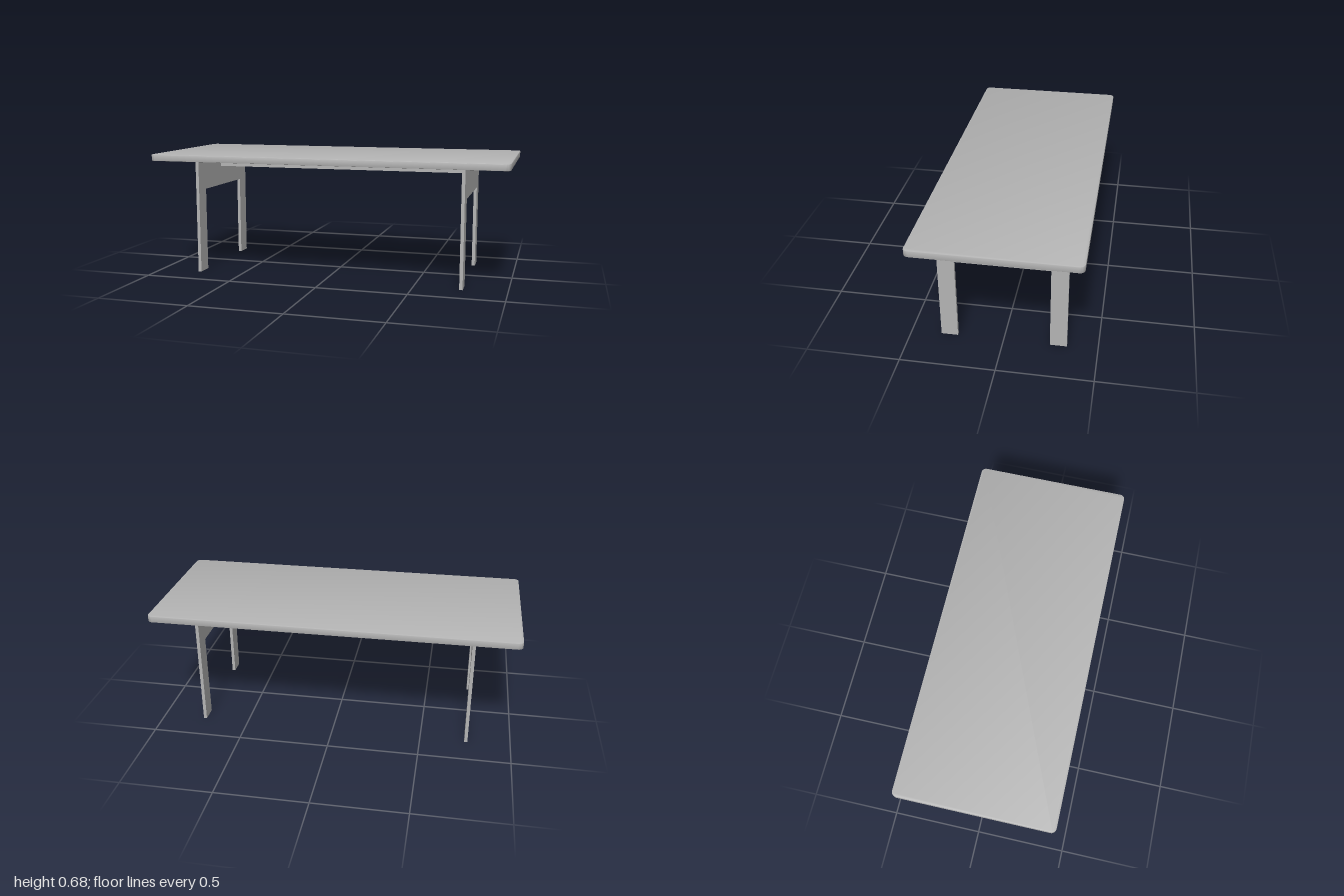
import * as THREE from 'three';
import { toCreasedNormals } from 'three/addons/utils/BufferGeometryUtils.js';

export function createModel() {
  const table = new THREE.Group();
  table.name = 'table';
  const grey = new THREE.MeshStandardMaterial({ color: 0xb4b4b4 });
  grey.name = 'light grey';

  const add = (name, geometry, x, y, z) => {
    const mesh = new THREE.Mesh(geometry, grey);
    mesh.name = name;
    mesh.position.set(x, y, z);
    table.add(mesh);
    return mesh;
  };

  // Tabletop: rounded rectangle with slightly softened edges
  const bevel = 0.003, w = 1 - bevel, d = 0.43 - bevel, r = 0.024;
  const outline = new THREE.Shape();
  outline.absarc(w - r, d - r, r, 0, Math.PI / 2);
  outline.absarc(-w + r, d - r, r, Math.PI / 2, Math.PI);
  outline.absarc(-w + r, -d + r, r, Math.PI, Math.PI * 1.5);
  outline.absarc(w - r, -d + r, r, Math.PI * 1.5, Math.PI * 2);
  const bottom = 0.648, thickness = 0.036;
  const topGeometry = new THREE.ExtrudeGeometry(outline, {
    depth: thickness - 2 * bevel, bevelSize: bevel, bevelThickness: bevel,
    bevelSegments: 2, curveSegments: 8,
  });
  topGeometry.rotateX(-Math.PI / 2);
  add('tabletop', toCreasedNormals(topGeometry, 0.6), 0, bottom + bevel, 0);

  // Leg frames: flat panels with a rectangular opening between the feet
  const outer = 0.337, inner = 0.247, opening = 0.475, panel = 0.018;
  const frame = new THREE.Shape([
    [-outer, 0], [-inner, 0], [-inner, opening], [inner, opening],
    [inner, 0], [outer, 0], [outer, bottom], [-outer, bottom],
  ].map(([z, y]) => new THREE.Vector2(z, y)));
  const frameGeometry = new THREE.ExtrudeGeometry(frame, { depth: panel, bevelEnabled: false });
  frameGeometry.translate(0, 0, -panel / 2);
  frameGeometry.rotateY(Math.PI / 2);
  for (const [name, side] of [['leftLegFrame', 1], ['rightLegFrame', -1]]) {
    add(name, frameGeometry, side * 0.756, 0, 0);
  }

  // Beam joining the frames under the top
  add('centreBeam', new THREE.BoxGeometry(1.494, 0.06, 0.07), 0, bottom - 0.03, 0);

  return table;
}
